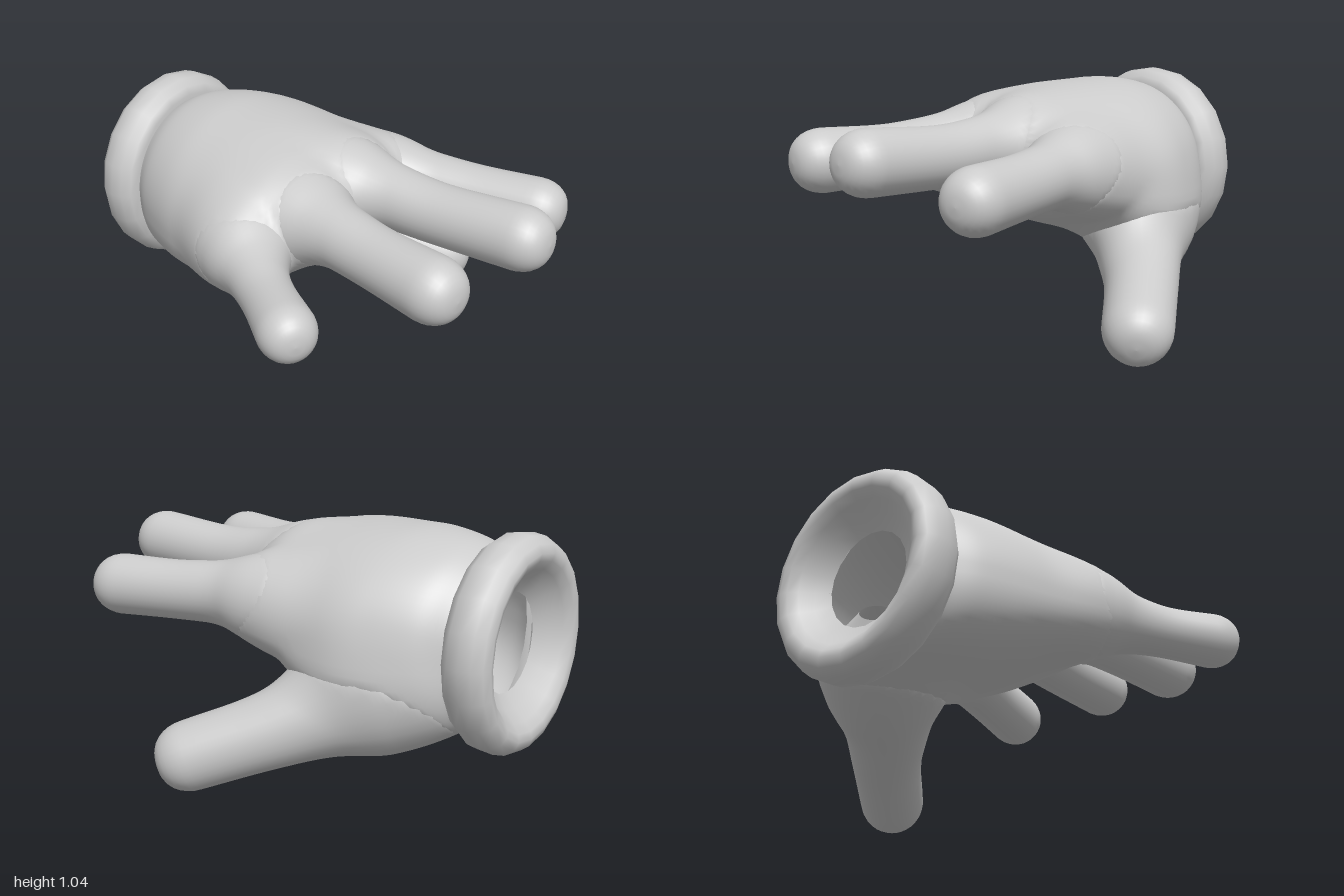
import * as THREE from 'three';

const material = new THREE.MeshStandardMaterial({ color: 0xcccccc, side: THREE.DoubleSide });
const V = (x, y, z) => new THREE.Vector3(x, y, z);
const spline = (pts) => new THREE.CatmullRomCurve3(pts, false, 'catmullrom', 0.5);

// Skin a list of equal-length rings with welded, smooth quads
function loft(rings) {
  const n = rings[0].length;
  const index = [];
  for (let i = 0; i < rings.length - 1; i++) {
    for (let j = 0; j < n; j++) {
      const k = (j + 1) % n;
      const a = i * n + j, b = i * n + k, c = a + n, d = b + n;
      index.push(a, c, b, b, c, d);
    }
  }
  const geometry = new THREE.BufferGeometry().setFromPoints(rings.flat());
  geometry.setIndex(index);
  geometry.computeVertexNormals();
  return geometry;
}

// Finger: stations [x, y, z, radius] along the bone, closed by a blunt round tip
function fingerGeometry(stations, sides = 32, steps = 48, capSteps = 8) {
  const path = spline(stations.map(([x, y, z]) => V(x, y, z)));
  const radii = spline(stations.map((s) => V(s[3], 0, 0)));
  const rings = [];
  const addRing = (centre, tangent, r) => {
    const side = tangent.clone().cross(V(0, 1, 0)).normalize();
    const up = side.clone().cross(tangent);
    rings.push(Array.from({ length: sides }, (_, j) => {
      const a = (j / sides) * Math.PI * 2;
      return centre.clone()
        .addScaledVector(side, r * Math.cos(a))
        .addScaledVector(up, r * Math.sin(a));
    }));
  };
  for (let i = 0; i <= steps; i++) {
    const t = i / steps;
    addRing(path.getPoint(t), path.getTangent(t), radii.getPoint(t).x);
  }
  const end = path.getPoint(1), dir = path.getTangent(1), r = radii.getPoint(1).x;
  for (let i = 1; i <= capSteps; i++) {
    const a = (i / capSteps) * Math.PI / 2;
    const ringRadius = r * Math.pow(Math.max(Math.cos(a), 1e-4), 0.75);
    addRing(end.clone().addScaledVector(dir, r * Math.sin(a)), dir, ringRadius);
  }
  return loft(rings);
}

// Palm: stations [x, zMin, zMax, yTop, yMid, yBottom], domed back and flatter underside
function palmGeometry(stations, sides = 80, steps = 84) {
  const widths = spline(stations.map((s) => V(s[0], s[1], s[2])));
  const heights = spline(stations.map((s) => V(s[3], s[4], s[5])));
  const rings = [];
  for (let i = 0; i <= steps; i++) {
    const w = widths.getPoint(i / steps), h = heights.getPoint(i / steps);
    rings.push(Array.from({ length: sides }, (_, j) => {
      const a = (j / sides) * Math.PI * 2;
      const s = Math.sin(a);
      const y = s > 0 ? h.y + s * (h.x - h.y) : h.y - Math.pow(-s, 0.75) * (h.y - h.z);
      return V(w.x, y, (w.y + w.z) / 2 + Math.cos(a) * (w.z - w.y) / 2);
    }));
  }
  return loft(rings);
}

const points = (attribute) => Array.from({ length: attribute.count },
  (_, i) => V().fromBufferAttribute(attribute, i));

// Fillet: swell a skin along its normals where it runs close to another skin
function swell(skin, others, reach) {
  return skin.at.map((p, i) => {
    let lift = 0;
    for (const other of others) {
      let nearest = -1, best = reach * reach;
      other.at.forEach((q, k) => {
        const d = p.distanceToSquared(q);
        if (d < best) { best = d; nearest = k; }
      });
      if (nearest < 0) continue;
      const gap = Math.abs(p.clone().sub(other.at[nearest]).dot(other.normals[nearest]));
      lift = Math.max(lift, (reach / 4) * Math.max(0, 1 - gap / reach) ** 2);
    }
    return p.clone().addScaledVector(skin.normals[i], lift);
  });
}

// Blend the fingers into the palm so the joints read as one soft skin
function blend(palm, fingers, reach) {
  const toSkin = (g) => ({ at: points(g.attributes.position), normals: points(g.attributes.normal) });
  const palmSkin = toSkin(palm), fingerSkins = fingers.map(toSkin);
  const apply = (geometry, moved) => {
    moved.forEach((p, i) => geometry.attributes.position.setXYZ(i, p.x, p.y, p.z));
    geometry.computeVertexNormals();
  };
  apply(palm, swell(palmSkin, fingerSkins, reach));
  fingers.forEach((g, i) => apply(g, swell(fingerSkins[i], [palmSkin], reach)));
}

export function createModel() {
  const model = new THREE.Group();
  model.name = 'glovedHand';
  const add = (name, geometry) => {
    const mesh = new THREE.Mesh(geometry, material);
    mesh.name = name;
    model.add(mesh);
    return mesh;
  };

  // Hollow palm, open at the wrist
  const palm = palmGeometry([
    [-0.885, -0.20, 0.20, 0.815, 0.605, 0.395],
    [-0.84, -0.31, 0.31, 0.91, 0.60, 0.29],
    [-0.79, -0.36, 0.35, 0.955, 0.605, 0.27],
    [-0.70, -0.43, 0.41, 0.995, 0.61, 0.275],
    [-0.55, -0.49, 0.475, 1.02, 0.61, 0.29],
    [-0.40, -0.525, 0.525, 1.02, 0.61, 0.325],
    [-0.20, -0.515, 0.575, 1.01, 0.62, 0.38],
    [-0.06, -0.50, 0.57, 0.985, 0.64, 0.43],
    [0.04, -0.48, 0.47, 0.95, 0.66, 0.48],
    [0.11, -0.45, 0.39, 0.90, 0.68, 0.54],
    [0.16, -0.38, 0.33, 0.85, 0.70, 0.59],
    [0.185, -0.25, 0.23, 0.79, 0.71, 0.65],
    [0.19, -0.01, 0.01, 0.715, 0.71, 0.705],
  ]);

  // Fingers grow from a thin root deep in the palm and swell at the knuckle
  const fingers = {
    indexFinger: [[-0.35, 0.65, -0.22, 0.03], [-0.12, 0.69, -0.32, 0.12], [0.05, 0.71, -0.365, 0.14],
      [0.22, 0.71, -0.39, 0.132], [0.45, 0.70, -0.44, 0.125], [0.71, 0.695, -0.495, 0.13]],
    middleFinger: [[-0.35, 0.67, -0.02, 0.03], [-0.12, 0.76, -0.04, 0.12], [0.05, 0.795, -0.05, 0.15],
      [0.22, 0.79, -0.065, 0.138], [0.50, 0.78, -0.07, 0.125], [0.87, 0.80, -0.075, 0.13]],
    ringFinger: [[-0.35, 0.66, 0.10, 0.03], [-0.12, 0.73, 0.19, 0.12], [0.05, 0.755, 0.23, 0.148],
      [0.22, 0.755, 0.265, 0.136], [0.47, 0.745, 0.31, 0.124], [0.76, 0.745, 0.36, 0.132]],
    littleFinger: [[-0.38, 0.64, 0.22, 0.03], [-0.18, 0.65, 0.40, 0.13], [-0.05, 0.65, 0.48, 0.145],
      [0.07, 0.64, 0.55, 0.126], [0.22, 0.63, 0.645, 0.107], [0.41, 0.63, 0.765, 0.115]],
    thumb: [[-0.75, 0.54, -0.08, 0.06], [-0.63, 0.44, -0.17, 0.20], [-0.48, 0.385, -0.28, 0.235],
      [-0.30, 0.32, -0.42, 0.187], [-0.12, 0.235, -0.58, 0.152], [0.10, 0.142, -0.745, 0.142]],
  };
  const names = Object.keys(fingers);
  const digits = names.map((name) => fingerGeometry(fingers[name]));
  blend(palm, digits, 0.16);
  add('palm', palm);
  names.forEach((name, i) => add(name, digits[i]));

  // Rolled cuff: [radius, x] profile, revolved around the wrist
  const profile = [[0.20, -0.88], [0.26, -0.92], [0.30, -0.965], [0.335, -0.992], [0.365, -1],
    [0.40, -0.987], [0.427, -0.95], [0.435, -0.90], [0.427, -0.85], [0.40, -0.813],
    [0.365, -0.80], [0.31, -0.80]];
  const cuff = add('cuff', new THREE.LatheGeometry(
    profile.map(([r, x]) => new THREE.Vector2(r, x)), 20));
  cuff.rotation.z = -Math.PI / 2;
  cuff.position.y = 0.605;
  cuff.scale.z = 0.965;

  return model;
}
